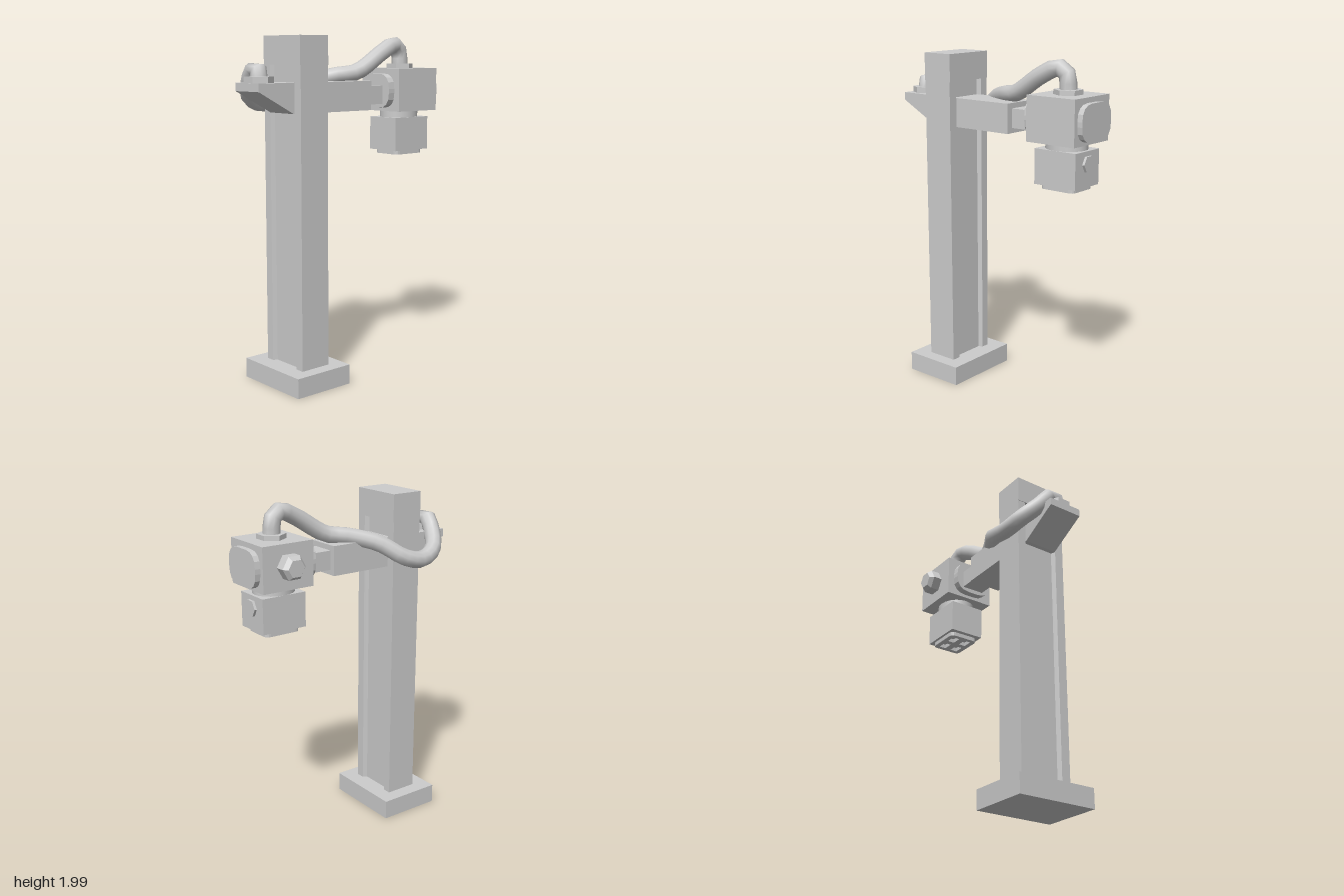
import * as THREE from 'three';

export function createModel() {
  const model = new THREE.Group();
  const flat = new THREE.MeshStandardMaterial({ color: 0xcccccc, flatShading: true });
  const smooth = new THREE.MeshStandardMaterial({ color: 0xcccccc });
  const CZ = 0.015; // depth of the arm's centre line

  function add(name, geometry, material = flat) {
    const mesh = new THREE.Mesh(geometry, material);
    mesh.name = name;
    model.add(mesh);
    return mesh;
  }

  // Box given by its limits on each axis
  function box(name, x0, x1, y0, y1, z0, z1) {
    add(name, new THREE.BoxGeometry(x1 - x0, y1 - y0, z1 - z0))
      .position.set((x0 + x1) / 2, (y0 + y1) / 2, (z0 + z1) / 2);
  }

  function polygon(points) {
    return new THREE.Shape(points.map(([x, y]) => new THREE.Vector2(x, y)));
  }

  function extrude(shape, depth, curveSegments = 4) {
    return new THREE.ExtrudeGeometry(shape, { depth, bevelEnabled: false, curveSegments });
  }

  function roundedRect(w, h, r) {
    const s = new THREE.Shape();
    const x = w / 2, y = h / 2;
    s.moveTo(-x + r, -y);
    s.lineTo(x - r, -y);
    s.quadraticCurveTo(x, -y, x, -y + r);
    s.lineTo(x, y - r);
    s.quadraticCurveTo(x, y, x - r, y);
    s.lineTo(-x + r, y);
    s.quadraticCurveTo(-x, y, -x, y - r);
    s.lineTo(-x, -y + r);
    s.quadraticCurveTo(-x, -y, -x + r, -y);
    return s;
  }

  // Base and column with a shallow guide channel down each side
  box('base', -0.53, -0.15, 0, 0.115, -0.23, 0.26);
  const halfX = 0.096, d = 0.025;
  const channel = [[halfX, -0.18], [halfX, -0.125], [halfX - d, -0.113],
    [halfX - d, 0.083], [halfX, 0.095], [halfX, 0.145]];
  const section = channel.concat(channel.map(([x, y]) => [-x, y]).reverse());
  const columnGeo = extrude(polygon(section), 1.715);
  columnGeo.rotateX(-Math.PI / 2);
  add('column', columnGeo).position.set(-0.338, 0.115, 0);
  box('columnCap', -0.437, -0.239, 1.83, 1.99, -0.145, 0.18);

  // Arm running through the column, and the wedge bracket behind it
  box('arm', -0.43, 0.14, 1.565, 1.735, -0.092, 0.122);
  const wedge = polygon([[-0.67, 1.735], [-0.67, 1.69], [-0.435, 1.565], [-0.4, 1.565], [-0.4, 1.735]]);
  add('cableBracket', extrude(wedge, 0.212)).position.z = -0.091;
  box('armNeck', 0.13, 0.28, 1.595, 1.705, -0.06, 0.083);

  // Head with rounded plates on both ends
  function endPlate(name, x, thickness, w, h, r) {
    const g = extrude(roundedRect(w, h, r), thickness);
    g.rotateY(Math.PI / 2);
    add(name, g).position.set(x, 1.672, CZ);
  }
  endPlate('armFlange', 0.27, 0.05, 0.242, 0.205, 0.09);
  box('head', 0.315, 0.635, 1.55, 1.805, -0.145, 0.175);
  endPlate('headEndPlate', 0.63, 0.037, 0.27, 0.208, 0.09);

  // Six-sided knob with a chamfered end on the back of the head
  const knobProfile = [[0.0735, -0.01], [0.0735, 0.055], [0.052, 0.08], [0, 0.08]]
    .map(([r, y]) => new THREE.Vector2(r, y));
  const knobGeo = new THREE.LatheGeometry(knobProfile, 6);
  knobGeo.rotateY(Math.PI / 2).rotateX(-Math.PI / 2);
  add('backKnob', knobGeo).position.set(0.475, 1.683, -0.145);

  // Tool block hanging below the head
  const swivel = new THREE.CylinderGeometry(0.122, 0.122, 0.06, 20);
  swivel.scale(1, 1, 0.9);
  add('swivel', swivel, smooth).position.set(0.473, 1.53, CZ);
  box('toolBlock', 0.337, 0.612, 1.31, 1.51, -0.095, 0.127);
  const button = new THREE.CylinderGeometry(0.049, 0.049, 0.025, 6);
  button.rotateZ(-Math.PI / 2);
  add('toolButton', button).position.set(0.614, 1.44, CZ);

  // Slotted plate on the underside of the tool block
  const plate = roundedRect(0.22, 0.188, 0.03);
  for (const sx of [-1, 1]) {
    for (const sy of [-1, 1]) {
      const x = sx * 0.05, y = sy * 0.042;
      plate.holes.push(new THREE.Path([[-1, -1], [-1, 1], [1, 1], [1, -1]]
        .map(([a, b]) => new THREE.Vector2(x + a * 0.032, y + b * 0.022))));
    }
  }
  const plateGeo = extrude(plate, 0.025);
  plateGeo.rotateX(-Math.PI / 2);
  add('toolPlate', plateGeo).position.set(0.475, 1.285, CZ);

  // Hexagonal cable glands
  for (const [name, x, y0, h] of [['bracketGland', -0.59, 1.735, 0.034], ['headGland', 0.477, 1.805, 0.027]]) {
    add(name, new THREE.CylinderGeometry(0.082, 0.082, h, 6)).position.set(x, y0 + h / 2, CZ);
  }

  // Cable looping behind the column from bracket to head
  const path = [
    [-0.59, 1.75, 0.015], [-0.59, 1.8, 0.01], [-0.588, 1.808, -0.03], [-0.573, 1.73, -0.1],
    [-0.51, 1.65, -0.18], [-0.4, 1.61, -0.213], [-0.28, 1.635, -0.205], [-0.15, 1.72, -0.125],
    [0, 1.765, -0.035], [0.12, 1.785, 0.015], [0.31, 1.9, 0.033], [0.42, 1.945, 0.023],
    [0.468, 1.91, 0.015], [0.477, 1.81, 0.015],
  ].map((p) => new THREE.Vector3(...p));
  const curve = new THREE.CatmullRomCurve3(path, false, 'centripetal');
  add('cable', new THREE.TubeGeometry(curve, 30, 0.049, 10), smooth);

  return model;
}
